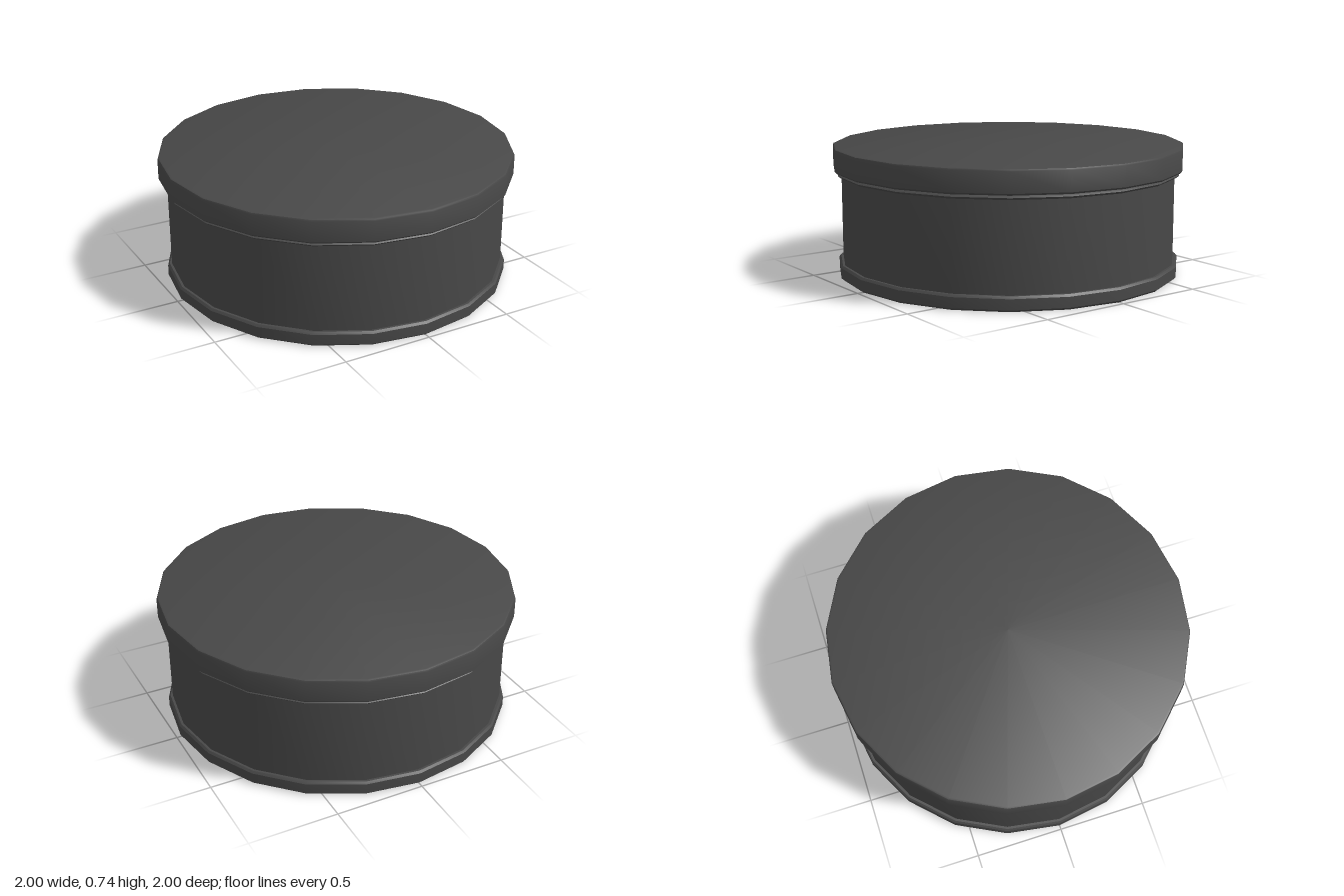
import * as THREE from 'three';
import { toCreasedNormals } from 'three/addons/utils/BufferGeometryUtils.js';

const SIDES = 20;
const tinMaterial = new THREE.MeshStandardMaterial({ color: 0x484848 });

// Revolves a [radius, height] profile, listed from bottom to top.
function turned(name, profile) {
  const points = profile.map(([r, y]) => new THREE.Vector2(r, y));
  const geometry = toCreasedNormals(new THREE.LatheGeometry(points, SIDES), 0.55);
  const mesh = new THREE.Mesh(geometry, tinMaterial);
  mesh.name = name;
  return mesh;
}

export function createModel() {
  const group = new THREE.Group();
  group.name = 'roundTin';

  // Flat bottom with a low bevelled rim
  group.add(turned('baseRim', [
    [0, 0], [0.965, 0], [0.978, 0.012], [0.978, 0.07], [0.968, 0.082], [0.955, 0.082],
  ]));

  // Straight wall
  group.add(turned('body', [[0.955, 0.08], [0.955, 0.575]]));

  // Rolled bead just under the lid
  group.add(turned('bead', [
    [0.955, 0.572], [0.968, 0.574], [0.982, 0.586], [0.968, 0.598], [0.955, 0.602],
  ]));

  // Lid with softened edges
  group.add(turned('lid', [
    [0.955, 0.6], [0.99, 0.6], [1, 0.61], [1, 0.722], [0.996, 0.731], [0.987, 0.735], [0, 0.735],
  ]));

  return group;
}
